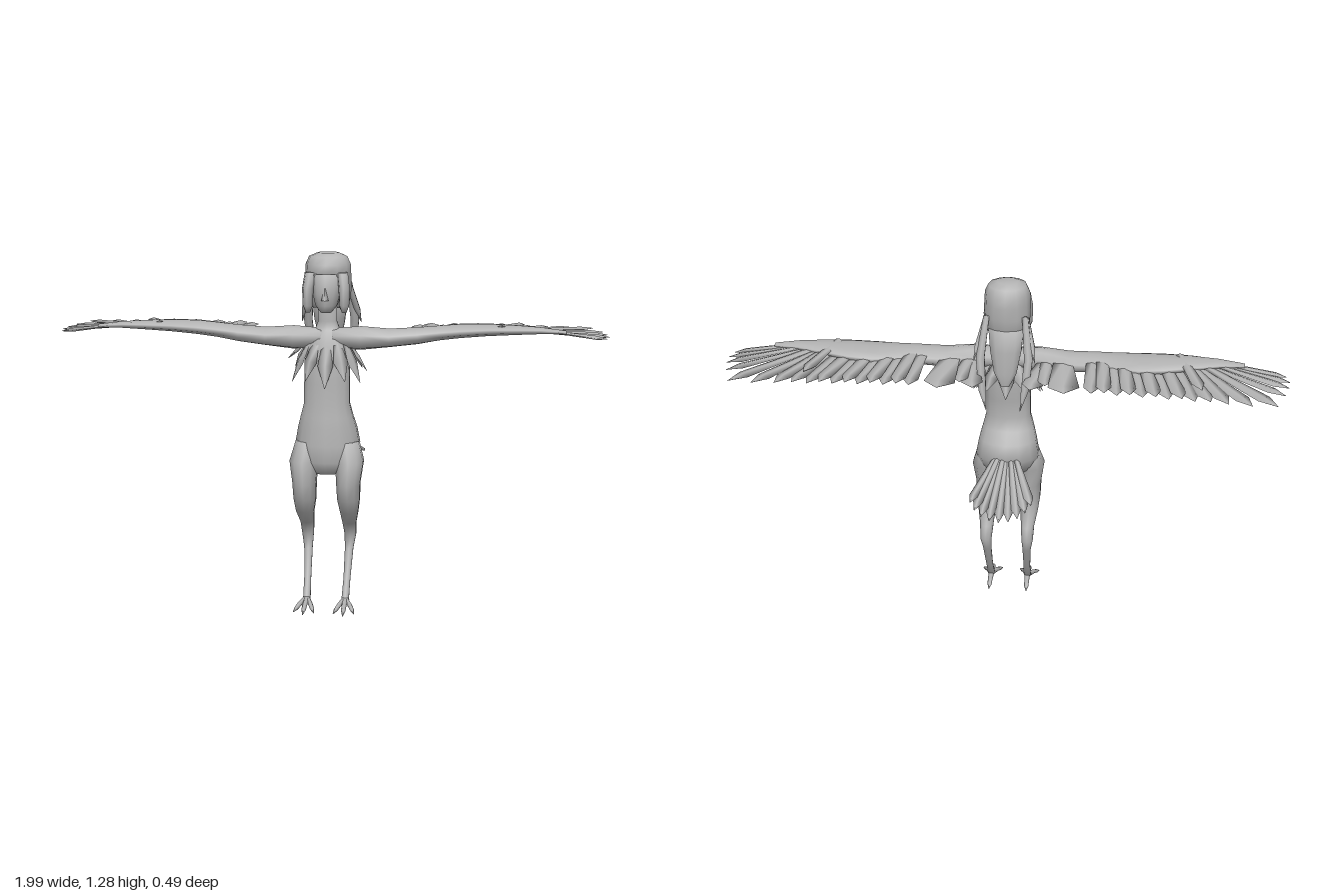
import * as THREE from 'three';

const skin = new THREE.MeshStandardMaterial({ color: 0xb4b4b4 });
skin.name = 'plain grey';

// Skin over elliptical cross-sections [x, y, z, radiusU, radiusV] stacked along an axis.
// U, V are (z, x) for 'y', (y, z) for 'x' and (x, y) for 'z'.
function loft(axis, sections, n = 10) {
  const w = { x: 0, y: 1, z: 2 }[axis], u = (w + 1) % 3, v = (w + 2) % 3;
  const pos = [], idx = [], last = sections.length - 1;
  const flip = sections[last][w] < sections[0][w];
  const tri = (a, b, c) => idx.push(...(flip ? [a, c, b] : [a, b, c]));
  for (const s of sections) {
    for (let j = 0; j < n; j++) {
      const a = (j / n) * Math.PI * 2, p = s.slice(0, 3);
      p[u] += Math.cos(a) * s[3];
      p[v] += Math.sin(a) * s[4];
      pos.push(...p);
    }
  }
  const start = pos.length / 3, end = start + 1;
  pos.push(...sections[0].slice(0, 3), ...sections[last].slice(0, 3));
  for (let j = 0; j < n; j++) {
    const k = (j + 1) % n;
    for (let i = 0; i < last; i++) {
      const a = i * n + j, b = i * n + k;
      tri(a, b, b + n);
      tri(a, b + n, a + n);
    }
    tri(start, k, j);
    tri(end, last * n + j, last * n + k);
  }
  const g = new THREE.BufferGeometry();
  g.setAttribute('position', new THREE.Float32BufferAttribute(pos, 3));
  g.setIndex(idx);
  g.computeVertexNormals();
  return g;
}

function add(parent, name, geometry) {
  const m = new THREE.Mesh(geometry, skin);
  m.name = name;
  parent.add(m);
  return m;
}

// Ridged flat feather from root to tip, its face turned towards `up`.
function feather(parent, name, root, tip, width, up = [0, 1, 0], base = 0.6, shoulder = 0.82) {
  const a = new THREE.Vector3(...root), b = new THREE.Vector3(...tip), L = a.distanceTo(b);
  const h = width / 2;
  const m = add(parent, name, loft('z', [
    [0, 0, 0, h * base, 0.004],
    [0, 0, L * shoulder, h, 0.007],
    [0, 0, L, 0.001, 0.001],
  ], 4));
  m.position.copy(a);
  m.up.set(...up);
  m.lookAt(b);
}

function group(parent, name) {
  const g = new THREE.Group();
  g.name = name;
  parent.add(g);
  return g;
}

function buildLeg(parent, s, side) {
  const leg = group(parent, side + 'Leg');
  add(leg, 'legLimb', loft('y', [
    [0.07, 0.03, 0.14, 0.014, 0.014], [0.072, 0.1, 0.097, 0.012, 0.013],
    [0.075, 0.2, 0.05, 0.015, 0.016], [0.078, 0.25, 0.035, 0.018, 0.022],
    [0.077, 0.3, 0.06, 0.03, 0.026], [0.08, 0.35, 0.1, 0.04, 0.034],
    [0.079, 0.4, 0.113, 0.053, 0.042], [0.079, 0.46, 0.124, 0.063, 0.044],
    [0.082, 0.54, 0.112, 0.066, 0.053], [0.07, 0.61, 0.09, 0.06, 0.045],
  ].map(([x, ...r]) => [x * s, ...r])));
  // Three front toes and one back toe
  for (const [x, z] of [[0.035, 0.225], [0.072, 0.25], [0.11, 0.22], [0.072, 0.065]]) {
    const mix = t => 0.07 + (x - 0.07) * t, dz = z - 0.135;
    add(leg, 'toe', loft('z', [
      [0.07 * s, 0.032, 0.135, 0.011, 0.011],
      [mix(0.5) * s, 0.022, 0.135 + dz * 0.5, 0.009, 0.009],
      [mix(0.75) * s, 0.012, 0.135 + dz * 0.75, 0.008, 0.008],
      [x * s, 0.002, z, 0.001, 0.001],
    ], 6));
  }
}

function buildWing(parent, s, side) {
  const wing = group(parent, side + 'Wing');
  add(wing, 'wingArm', loft('x', [
    [0.02, 0.98, 0.09, 0.035, 0.042], [0.12, 0.98, 0.085, 0.042, 0.046],
    [0.22, 0.98, 0.07, 0.033, 0.058], [0.32, 0.988, 0.06, 0.03, 0.058],
    [0.4, 0.997, 0.04, 0.026, 0.07], [0.47, 1.003, 0.025, 0.024, 0.082],
    [0.56, 1.008, 0.025, 0.021, 0.076], [0.65, 1.01, 0.035, 0.017, 0.058],
    [0.75, 1.01, 0.043, 0.012, 0.032], [0.84, 1.005, 0.045, 0.006, 0.014],
  ].map(([x, ...r]) => [x * s, ...r])));
  // Long feathers along the forearm
  for (let i = 0; i < 9; i++) {
    feather(wing, 'secondaryFeather',
      [(0.305 + 0.036 * i) * s, 1.0 + (i % 2) * 0.006, 0.02],
      [(0.315 + 0.044 * i) * s, 0.99 + (i % 2) * 0.006, -0.205 - 0.003 * i], 0.054, [0, 1, 0], 0.8);
  }
  // Fan of feathers at the hand
  const tips = [[0.72, -0.225], [0.78, -0.235], [0.86, -0.24], [0.945, -0.23],
    [0.975, -0.14], [0.99, -0.075], [0.995, -0.025], [0.985, 0.02]];
  tips.forEach(([x, z], i) => feather(wing, 'primaryFeather',
    [(0.63 + 0.02 * i) * s, 1.005 + (i % 2) * 0.004, 0.01 + 0.005 * i],
    [x * s, 0.99 - 0.0015 * i, z], i < 4 ? 0.056 : 0.046, [0, 1, 0], 0.55));
  // Thumb feather over the wrist
  feather(wing, 'thumbFeather', [0.61 * s, 1.026, 0.07], [0.69 * s, 1.005, -0.17], 0.045, [0, 1, 0], 0.6);
  // Short feathers near the shoulder
  feather(wing, 'innerFeather', [0.2 * s, 0.99, 0.04], [0.22 * s, 0.975, -0.185], 0.11);
  feather(wing, 'innerFeather', [0.13 * s, 0.98, 0.05], [0.1 * s, 0.965, -0.15], 0.075);
  feather(wing, 'innerFeather', [0.14 * s, 0.985, 0.05], [0.15 * s, 0.97, -0.12], 0.06);
}

function buildHead(parent) {
  const head = group(parent, 'head');
  add(head, 'face', loft('y', [
    [0, 1.075, 0.125, 0.03, 0.02], [0, 1.1, 0.115, 0.05, 0.04],
    [0, 1.14, 0.112, 0.06, 0.05], [0, 1.21, 0.1, 0.065, 0.055],
  ]));
  const nose = add(head, 'nose', new THREE.ConeGeometry(0.013, 0.05, 4));
  nose.position.set(0, 1.145, 0.171);
  add(head, 'hairCap', loft('y', [
    [0, 1.085, 0.05, 0.045, 0.06], [0, 1.11, 0.05, 0.062, 0.076], [0, 1.16, 0.052, 0.072, 0.083],
    [0, 1.205, 0.067, 0.088, 0.082], [0, 1.24, 0.067, 0.085, 0.08],
    [0, 1.267, 0.067, 0.068, 0.068], [0, 1.28, 0.065, 0.035, 0.038],
  ], 12));
  add(head, 'backHair', loft('y', [
    [0, 0.91, -0.015, 0.004, 0.015], [0, 0.96, -0.005, 0.02, 0.042],
    [0, 1.04, 0.012, 0.034, 0.058], [0, 1.12, 0.025, 0.04, 0.065],
  ]));
  for (const s of [1, -1]) {
    add(head, 'sideLock', loft('y', [
      [0.064 * s, 1.075, 0.135, 0.008, 0.008], [0.064 * s, 1.1, 0.138, 0.027, 0.018],
      [0.064 * s, 1.16, 0.138, 0.029, 0.02], [0.056 * s, 1.215, 0.125, 0.022, 0.02],
    ], 8));
    add(head, 'longStrand', loft('y', [
      [0.06 * s, 0.85, -0.088, 0.001, 0.001], [0.075 * s, 0.92, -0.068, 0.013, 0.015],
      [0.085 * s, 1.03, -0.04, 0.015, 0.017], [0.068 * s, 1.17, 0.005, 0.01, 0.012],
    ], 6));
    add(head, 'shortStrand', loft('y', [
      [0.108 * s, 1.02, -0.045, 0.001, 0.001], [0.095 * s, 1.07, -0.022, 0.014, 0.012],
      [0.07 * s, 1.16, 0.02, 0.012, 0.012],
    ], 6));
  }
}

export function createModel() {
  const model = new THREE.Group();
  model.name = 'wingedWoman';
  add(model, 'torsoAndNeck', loft('y', [
    [0, 0.495, 0.11, 0.04, 0.05], [0, 0.54, 0.1, 0.074, 0.105],
    [0, 0.6, 0.077, 0.096, 0.118], [0, 0.66, 0.084, 0.084, 0.107],
    [0, 0.7, 0.1, 0.064, 0.096], [0, 0.75, 0.104, 0.053, 0.083],
    [0, 0.82, 0.1, 0.055, 0.083], [0, 0.9, 0.093, 0.058, 0.08],
    [0, 0.97, 0.09, 0.05, 0.078], [0, 1.01, 0.085, 0.03, 0.045],
    [0, 1.04, 0.086, 0.02, 0.034], [0, 1.11, 0.09, 0.024, 0.034],
  ], 14));
  buildHead(model);
  for (const [s, side] of [[1, 'left'], [-1, 'right']]) {
    buildLeg(model, s, side);
    buildWing(model, s, side);
  }

  // Ring of pointed feathers hanging from the shoulders
  const collar = group(model, 'featherCollar');
  for (let i = 0; i < 12; i++) {
    const a = (i / 12) * Math.PI * 2, x = Math.sin(a), z = Math.cos(a);
    const drop = 0.845 - 0.035 * Math.abs(z) + (z < 0 ? 0.04 : 0) + 0.02 * (i % 2);
    feather(collar, 'collarFeather', [0.075 * x, 0.965, 0.09 + 0.045 * z],
      [0.14 * x, drop, 0.09 + 0.09 * z], 0.055, [x, 0.3, z], 0.5, 0.5);
  }

  // Tail fan
  const tail = group(model, 'tail');
  for (let i = -4; i <= 4; i++) {
    const a = i * 0.13, L = 0.28 - 0.003 * i * i;
    feather(tail, 'tailFeather', [0.009 * i, 0.615 + (i % 2) * 0.003, 0.005],
      [Math.sin(a) * L * 0.95, 0.615 - Math.cos(a) * L * 0.48, 0.005 - Math.cos(a) * L * 0.88], 0.036,
      [0, 1, 0], 0.5, 0.85);
  }
  return model;
}
